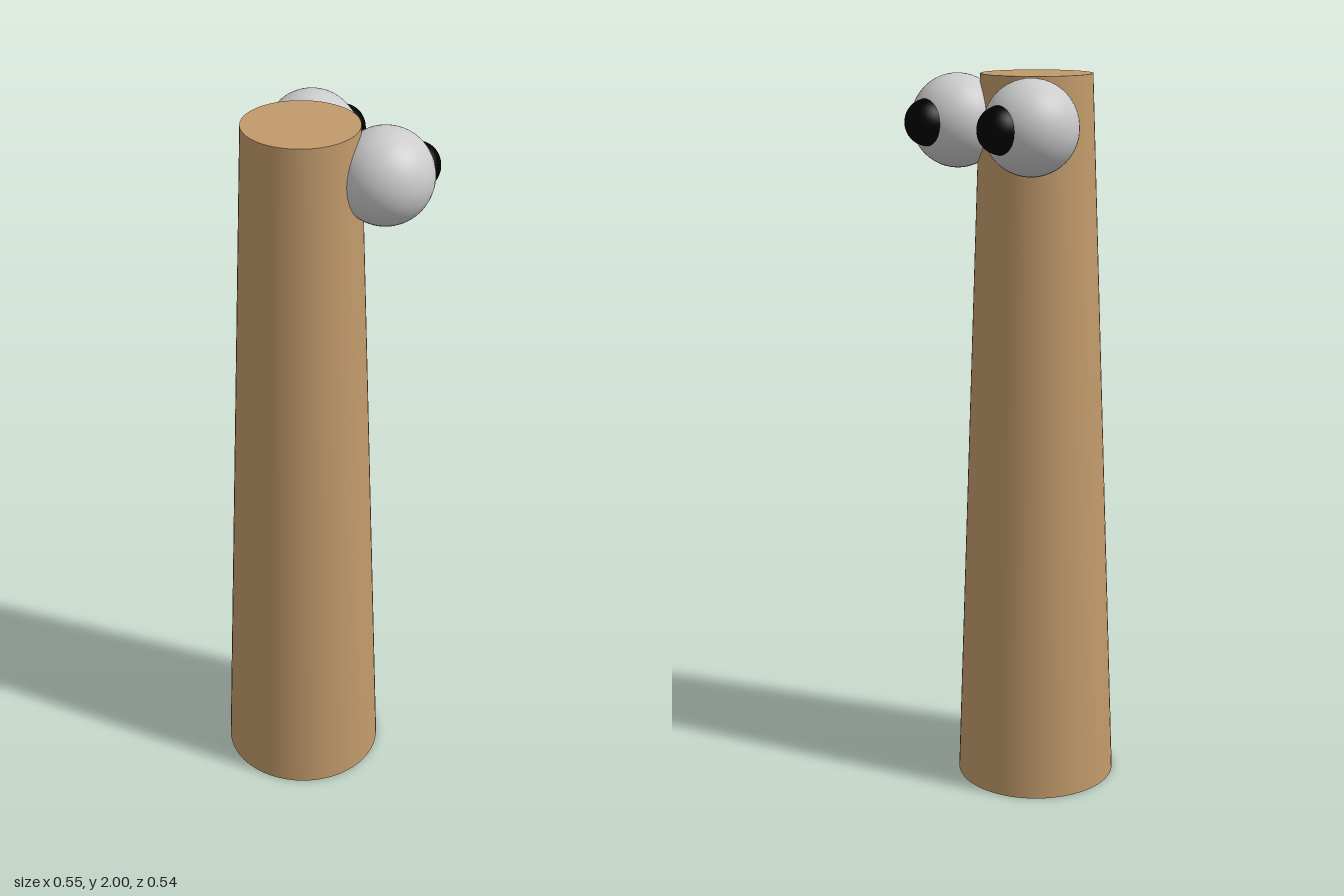
import * as THREE from 'three';

const mat = (color) => new THREE.MeshStandardMaterial({ color });

export function createModel() {
  const group = new THREE.Group();
  const axisZ = 0.04375;

  const add = (name, geometry, material, x, y, z) => {
    const mesh = new THREE.Mesh(geometry, material);
    mesh.name = name;
    mesh.position.set(x, y, z);
    group.add(mesh);
  };

  // Tapered body
  add('body', new THREE.CylinderGeometry(0.15, 0.225, 2, 64), mat(0xc19a6b), 0, 1, axisZ);

  // Bulging eyes with half-sunk pupils, looking toward -z
  const eyeGeometry = new THREE.SphereGeometry(0.125, 48, 32);
  const pupilGeometry = new THREE.SphereGeometry(0.0625, 32, 24);
  const eyeMaterial = mat(0xcccccc);
  const pupilMaterial = mat(0x000000);
  for (const [side, sign] of [['left', 1], ['right', -1]]) {
    add(side + 'Eye', eyeGeometry, eyeMaterial, sign * 0.15, 1.875, axisZ - 0.15);
    add(side + 'Pupil', pupilGeometry, pupilMaterial, sign * 0.15, 1.875, axisZ - 0.25);
  }

  return group;
}
